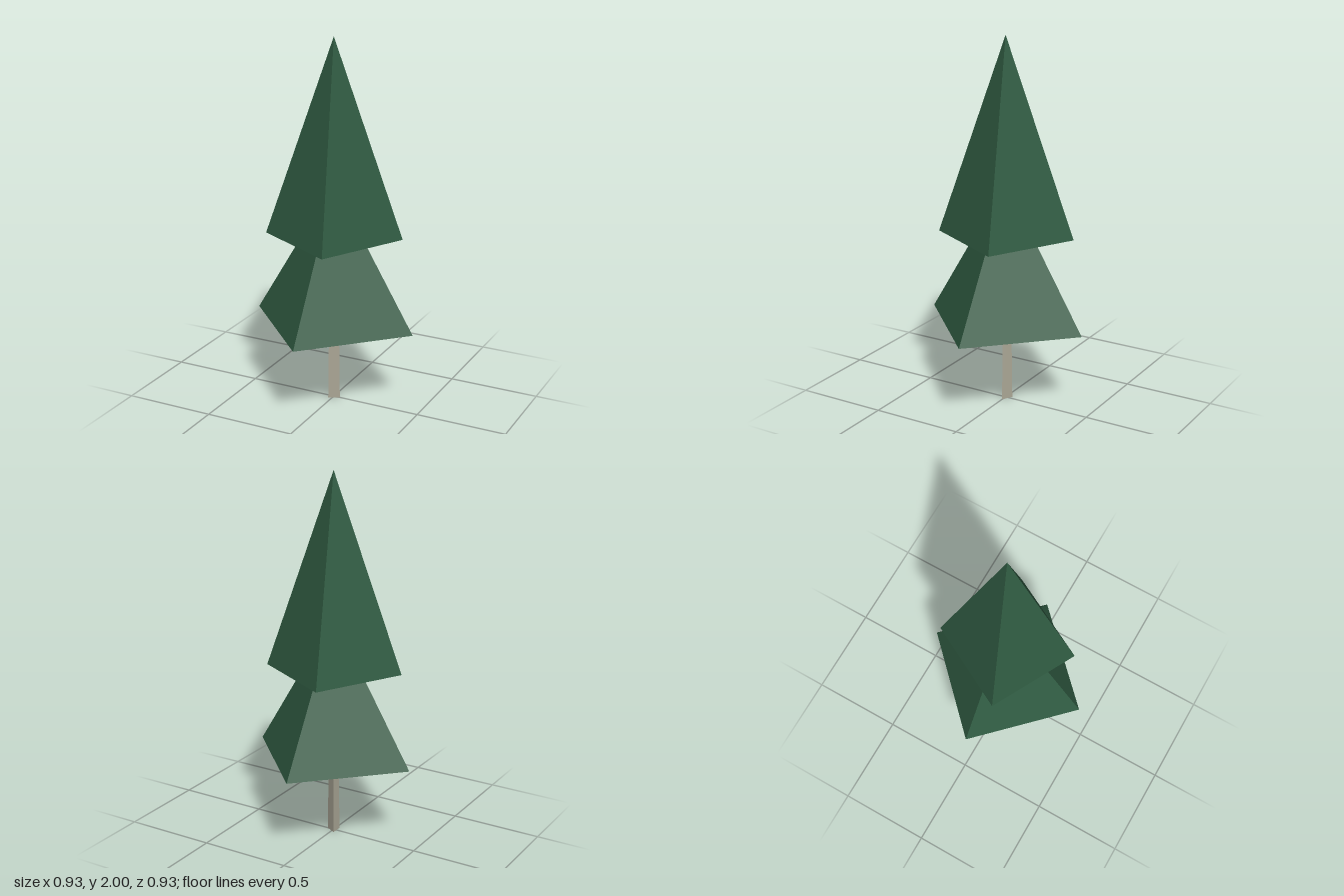
import * as THREE from 'three';

export function createModel() {
  const tree = new THREE.Group();
  tree.name = 'pineTree';

  const foliage = new THREE.MeshStandardMaterial({ color: 0x2f5a41, flatShading: true });
  foliage.name = 'dark green foliage';
  const bark = new THREE.MeshStandardMaterial({ color: 0xaaa695, flatShading: true });
  bark.name = 'grey bark';

  // Four-sided tier with a shallow hollow underside
  function addTier(name, radius, base, tip, turn) {
    const profile = [
      new THREE.Vector2(0, base + 0.08),
      new THREE.Vector2(radius, base),
      new THREE.Vector2(0, tip),
    ];
    const tier = new THREE.Mesh(new THREE.LatheGeometry(profile, 4, turn), foliage);
    tier.name = name;
    tree.add(tier);
  }
  addTier('lowerFoliage', 0.465, 0.452, 1.228, 0);
  addTier('upperFoliage', 0.367, 0.935, 2, 0.3);

  // Slim three-sided trunk, one edge towards +x, its top hidden in the foliage
  const trunkHeight = 0.6;
  const trunk = new THREE.Mesh(
    new THREE.CylinderGeometry(0.029, 0.037, trunkHeight, 3, 1, false, Math.PI / 2),
    bark
  );
  trunk.position.y = trunkHeight / 2;
  trunk.name = 'trunk';
  tree.add(trunk);

  return tree;
}
